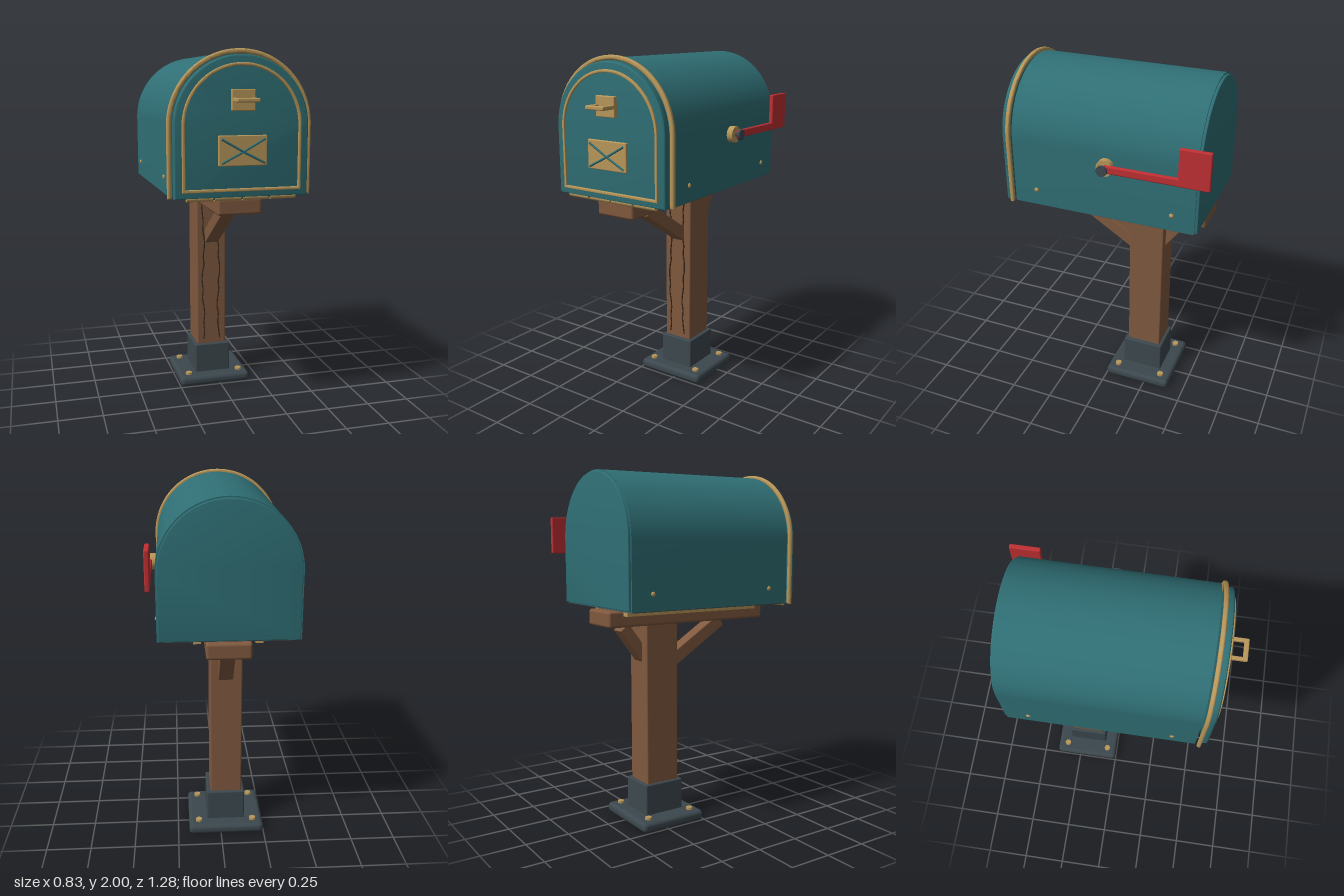
import * as THREE from 'three';
import { toCreasedNormals } from 'three/addons/utils/BufferGeometryUtils.js';
import { RoundedBoxGeometry } from 'three/addons/geometries/RoundedBoxGeometry.js';

const mat = (name, color) => {
  const m = new THREE.MeshStandardMaterial({ color });
  m.name = name;
  return m;
};

const SPRING = 1.615; // height where the straight sides become the arch

export function createModel() {
  const teal = mat('teal paint', 0x2f6f75);
  const brass = mat('brass', 0xb8975a);
  const wood = mat('wood', 0x80593f);
  const slate = mat('slate metal', 0x3c484e);
  const red = mat('red paint', 0xc03033);
  const crackBrown = mat('dark crack', 0x3a2a20);

  const root = new THREE.Group();
  root.name = 'mailbox';
  const model = new THREE.Group();
  model.name = 'mailboxParts';
  model.position.x = -0.03; // the flag sticks out on one side
  root.add(model);

  const add = (name, geo, material, x = 0, y = 0, z = 0) => {
    const mesh = new THREE.Mesh(geo, material);
    mesh.name = name;
    mesh.position.set(x, y, z);
    model.add(mesh);
    return mesh;
  };
  // Box given by its extents, optionally rounded
  const box = (name, material, [x0, x1], [y0, y1], [z0, z1], r = 0) => {
    const s = [x1 - x0, y1 - y0, z1 - z0];
    const geo = r ? new RoundedBoxGeometry(...s, 3, r) : new THREE.BoxGeometry(...s);
    return add(name, geo, material, (x0 + x1) / 2, (y0 + y1) / 2, (z0 + z1) / 2);
  };
  // Cylinder lying along x
  const pinX = (name, material, r, x0, x1, y, z, sides = 24) => {
    const geo = new THREE.CylinderGeometry(r, r, x1 - x0, sides).rotateZ(Math.PI / 2);
    return add(name, geo, material, (x0 + x1) / 2, y, z);
  };
  const archOutline = (target, r, bottom) => {
    target.moveTo(-r, bottom);
    target.lineTo(r, bottom);
    target.lineTo(r, SPRING);
    target.absarc(0, SPRING, r, 0, Math.PI, false);
    target.lineTo(-r, bottom);
    return target;
  };
  // Extrude between two z values with an optional rounded edge inside those limits
  const extrude = (name, shape, material, z0, z1, bevel = 0) => {
    const geo = new THREE.ExtrudeGeometry(shape, {
      depth: z1 - z0 - 2 * bevel, curveSegments: 32, bevelEnabled: bevel > 0,
      bevelSize: bevel, bevelOffset: -bevel, bevelThickness: bevel, bevelSegments: 3,
    });
    return add(name, toCreasedNormals(geo, 0.6), material, 0, 0, z0 + bevel);
  };

  // Arched box
  extrude('body', archOutline(new THREE.Shape(), 0.37, 1.257), teal, -0.56, 0.465);
  extrude('backPanel', archOutline(new THREE.Shape(), 0.362, 1.262), teal, -0.575, -0.55, 0.004);
  box('floorPlate', slate, [-0.365, 0.365], [1.253, 1.26], [-0.555, 0.46]);

  // Open brass rim around the door
  const rim = new THREE.Shape();
  rim.moveTo(0.36, 1.25);
  rim.lineTo(0.385, 1.25);
  rim.lineTo(0.385, SPRING);
  rim.absarc(0, SPRING, 0.385, 0, Math.PI, false);
  rim.lineTo(-0.385, 1.25);
  rim.lineTo(-0.36, 1.25);
  rim.lineTo(-0.36, SPRING);
  rim.absarc(0, SPRING, 0.36, Math.PI, 0, true);
  rim.lineTo(0.36, 1.25);
  extrude('frontRim', rim, brass, 0.475, 0.499, 0.009);

  // Door and its raised trim
  extrude('door', archOutline(new THREE.Shape(), 0.356, 1.25), teal, 0.487, 0.532, 0.008);
  const trim = archOutline(new THREE.Shape(), 0.316, 1.283);
  trim.holes.push(archOutline(new THREE.Path(), 0.3, 1.299));
  extrude('doorTrim', trim, brass, 0.526, 0.543, 0.005);

  // Pull handle
  box('handlePlate', brass, [-0.063, 0.061], [1.692, 1.8], [0.53, 0.556], 0.005);
  for (const s of [-1, 1]) {
    box('handleArm', brass, [s * 0.05 - 0.01, s * 0.05 + 0.01], [1.736, 1.757], [0.54, 0.636], 0.005);
  }
  box('handleBar', brass, [-0.06, 0.06], [1.736, 1.757], [0.615, 0.64], 0.006);

  // Envelope emblem with crossed folds
  box('envelope', brass, [-0.129, 0.127], [1.415, 1.57], [0.53, 0.55], 0.005);
  for (const s of [-1, 1]) {
    for (const v of [-1, 1]) {
      const fold = new THREE.LineCurve3(
        new THREE.Vector3(s * 0.115, 1.49 + v * 0.062, 0.552), new THREE.Vector3(0, 1.487, 0.552));
      add('envelopeFold', new THREE.TubeGeometry(fold, 1, 0.006, 8), teal);
    }
  }

  // Hinge knuckles under the door
  for (let i = 0; i < 4; i++) {
    const x = -0.292 + i * 0.149;
    pinX('hingeKnuckle', brass, 0.016, x, x + 0.138, 1.25, 0.515, 16);
  }
  pinX('hingePin', teal, 0.009, -0.28, 0.28, 1.25, 0.515, 12);

  // Side rivets
  for (const s of [-1, 1]) {
    for (const z of [0.335, -0.435]) {
      const rivet = add('rivet', new THREE.SphereGeometry(0.013, 14, 10), brass, s * 0.37, 1.345, z);
      rivet.scale.x = 0.7;
    }
  }

  // Signal flag on the model's left side
  pinX('flagPivot', brass, 0.045, 0.365, 0.404, 1.562, -0.076, 32);
  pinX('flagAxle', slate, 0.012, 0.4, 0.43, 1.562, -0.076, 12);
  pinX('flagCap', slate, 0.03, 0.426, 0.441, 1.562, -0.076, 12);
  box('flagArm', red, [0.394, 0.417], [1.54, 1.584], [-0.5, -0.076], 0.008);
  box('flagPlate', red, [0.393, 0.418], [1.54, 1.745], [-0.638, -0.473], 0.006);

  // Mounting rails and platform
  for (const s of [-1, 1]) {
    box('mountRail', brass, [s * 0.163 - 0.02, s * 0.163 + 0.02], [1.215, 1.256], [-0.48, 0.39]);
  }
  box('platform', wood, [-0.12, 0.12], [1.15, 1.24], [-0.556, 0.495], 0.015);

  // Post
  box('post', wood, [-0.093, 0.087], [0.02, 1.16], [-0.308, -0.103], 0.008);

  // Diagonal braces, from platform end to post
  const brace = (name, z0, y0, z1, y1, thick) => {
    const dz = z1 - z0, dy = y1 - y0;
    const geo = new RoundedBoxGeometry(0.082, thick, Math.hypot(dz, dy), 2, 0.005);
    add(name, geo, wood, 0, (y0 + y1) / 2, (z0 + z1) / 2).rotation.x = -Math.atan2(dy, dz);
  };
  brace('frontBrace', 0.245, 1.142, -0.15, 0.893, 0.076);
  brace('rearBrace', -0.416, 1.14, -0.27, 0.944, 0.066);

  // Wavy cracks on the front of the post
  [-0.055, 0.04].forEach((x, k) => {
    const pts = [];
    for (let i = 0; i <= 16; i++) {
      const wobble = 0.006 * Math.sin(i * 0.7 + k * 2) + 0.004 * Math.sin(i * 2.3 + k);
      pts.push(new THREE.Vector3(x + wobble, 0.265 + i * 0.053, -0.098));
    }
    add('postCrack', new THREE.TubeGeometry(new THREE.CatmullRomCurve3(pts), 64, 0.004, 6), crackBrown);
  });

  // Metal foot with bolts
  box('footSleeve', slate, [-0.11, 0.108], [0.04, 0.235], [-0.326, -0.082], 0.008);
  box('footPlate', slate, [-0.218, 0.216], [0, 0.058], [-0.406, -0.002], 0.024);
  for (const sx of [-1, 1]) {
    for (const sz of [-1, 1]) {
      add('footBolt', new THREE.CylinderGeometry(0.02, 0.022, 0.022, 6), brass, sx * 0.158, 0.06, -0.204 + sz * 0.14);
    }
  }
  return root;
}
